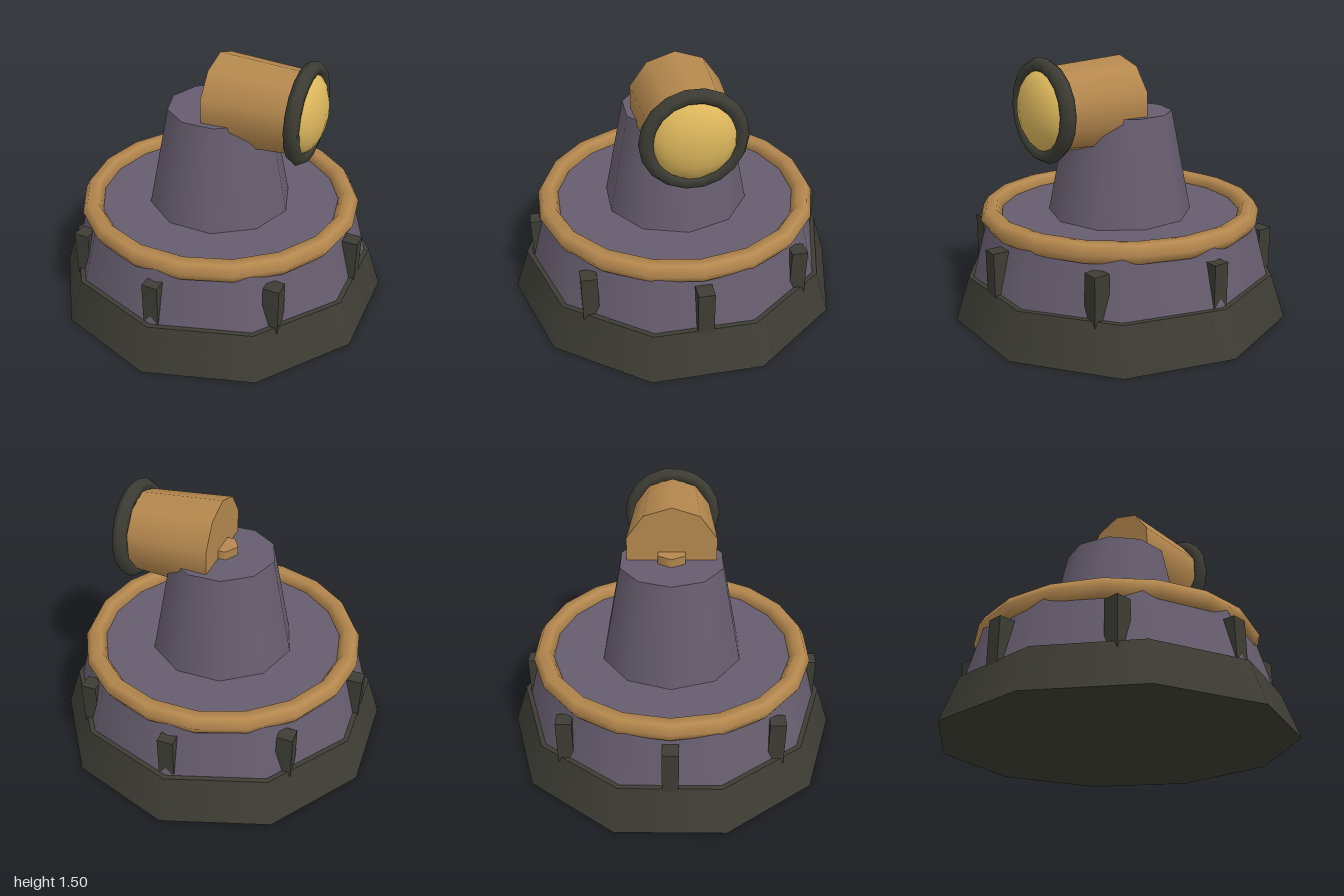
import * as THREE from 'three';

export function createModel() {
  const model = new THREE.Group();
  model.name = 'turret';

  const mat = (name, color) => {
    const m = new THREE.MeshStandardMaterial({ color });
    m.name = name;
    return m;
  };
  const darkIron = mat('dark iron', 0x3d3d35);
  const slate = mat('slate purple', 0x665d6e);
  const copper = mat('copper', 0xb5884e);
  const gold = mat('lens gold', 0xdcb75c);

  const add = (parent, name, geometry, material, x = 0, y = 0, z = 0) => {
    const mesh = new THREE.Mesh(geometry, material);
    mesh.name = name;
    mesh.position.set(x, y, z);
    parent.add(mesh);
    return mesh;
  };
  // Tapered prism standing between two heights
  const frustum = (parent, name, rTop, rBottom, y0, y1, sides, material, start = 0) =>
    add(parent, name, new THREE.CylinderGeometry(rTop, rBottom, y1 - y0, sides, 1, false, start),
      material, 0, (y0 + y1) / 2, 0);

  // Ten-sided foot and drum
  frustum(model, 'foot', 0.915, 1, 0, 0.25, 10, darkIron);
  frustum(model, 'drum', 0.8, 0.887, 0.25, 0.57, 10, slate);

  // Ring around the deck
  add(model, 'deckRing', new THREE.TorusGeometry(0.766, 0.06, 6, 18).rotateX(Math.PI / 2),
    copper, 0, 0.576, 0);

  // Eight square blocks around the drum, all parallel to the axes
  const blocks = new THREE.Group();
  blocks.name = 'blocks';
  model.add(blocks);
  for (let i = 0; i < 8; i++) {
    const a = (i * Math.PI) / 4;
    add(blocks, 'block', new THREE.BoxGeometry(0.09, 0.29, 0.09), darkIron,
      Math.sin(a) * 0.83, 0.345, Math.cos(a) * 0.83);
  }

  // Pedestal and the pivot pin on it
  frustum(model, 'pedestal', 0.303, 0.426, 0.55, 1.165, 10, slate, Math.PI / 2);
  frustum(model, 'pivotPin', 0.09, 0.09, 1.1, 1.215, 6, copper, Math.PI / 2);

  // Lamp head pointing to the left (+x)
  const head = new THREE.Group();
  head.name = 'lampHead';
  head.position.y = 1.218;
  model.add(head);
  add(head, 'barrel',
    new THREE.CylinderGeometry(0.232, 0.267, 0.52, 10, 1, false, Math.PI / 2).rotateZ(-Math.PI / 2),
    copper, 0.26, 0, 0);
  add(head, 'lensRing', new THREE.TorusGeometry(0.246, 0.043, 6, 18).rotateY(Math.PI / 2),
    darkIron, 0.516, 0, 0);
  add(head, 'lens', new THREE.SphereGeometry(0.23, 16, 9).scale(0.53, 1, 1), gold, 0.5, 0, 0);

  return model;
}
